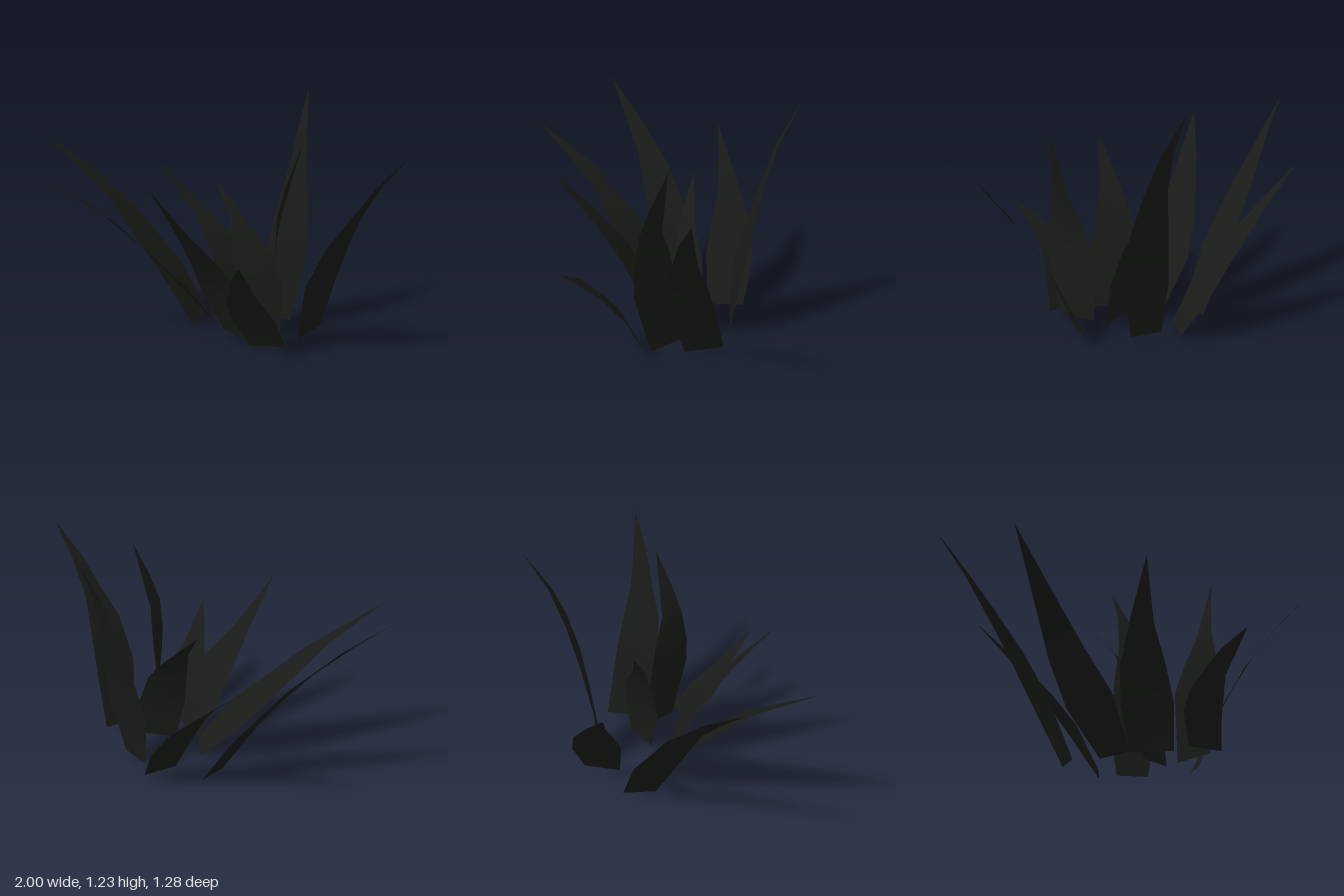
import * as THREE from 'three';

// A blade is a thin strip: rows of [left xyz, right xyz] from the root up, closed by a pointed tip.
function bladeGeometry(rows, tip) {
  const points = [...rows.flat(), ...tip];
  const index = [];
  const last = rows.length - 1;
  for (let i = 0; i < last; i++) {
    const a = i * 2;
    index.push(a, a + 1, a + 3, a, a + 3, a + 2);
  }
  index.push(last * 2, last * 2 + 1, last * 2 + 2);
  const geometry = new THREE.BufferGeometry();
  geometry.setAttribute('position', new THREE.Float32BufferAttribute(points, 3));
  geometry.setIndex(index);
  geometry.computeVertexNormals();
  return geometry;
}

const blades = {
  leftBlade: {
    rows: [
      [0.39, 0.02, -0.05, 0.41, 0.05, -0.24],
      [0.49, 0.32, 0.05, 0.53, 0.32, -0.18],
      [0.61, 0.53, 0.07, 0.62, 0.50, -0.13],
      [0.71, 0.66, 0.05, 0.72, 0.67, -0.07],
      [0.84, 0.83, 0.03, 0.84, 0.83, -0.04],
    ],
    tip: [1.0, 1.0, -0.01],
  },
  rightBlade: {
    rows: [
      [-0.26, 0.015, -0.22, -0.25, 0.0, -0.05],
      [-0.42, 0.29, -0.18, -0.40, 0.28, 0.04],
      [-0.55, 0.48, -0.10, -0.53, 0.47, 0.08],
      [-0.64, 0.61, -0.05, -0.68, 0.66, 0.11],
      [-0.83, 0.83, 0.10, -0.84, 0.83, 0.17],
    ],
    tip: [-1.0, 0.985, 0.23],
  },
  frontRightBlade: {
    rows: [
      [-0.11, 0.02, -0.065, 0.01, 0.03, 0.05],
      [-0.30, 0.23, 0.02, -0.12, 0.27, 0.19],
      [-0.42, 0.42, 0.15, -0.27, 0.43, 0.28],
      [-0.56, 0.67, 0.38, -0.42, 0.60, 0.38],
    ],
    tip: [-0.69, 0.845, 0.64],
  },
  backRightBlade: {
    rows: [
      [-0.03, 0.03, -0.40, -0.08, 0.02, -0.22],
      [-0.15, 0.24, -0.465, -0.20, 0.25, -0.22],
      [-0.27, 0.40, -0.46, -0.32, 0.42, -0.27],
      [-0.49, 0.61, -0.40, -0.42, 0.54, -0.31],
    ],
    tip: [-0.71, 0.80, -0.34],
  },
  frontBlade: {
    rows: [
      [0.01, 0.03, 0.04, 0.21, 0.03, 0.11],
      [-0.06, 0.24, 0.13, 0.20, 0.25, 0.16],
      [-0.08, 0.40, 0.20, 0.14, 0.40, 0.24],
      [-0.07, 0.60, 0.36, 0.04, 0.57, 0.37],
    ],
    tip: [-0.05, 0.815, 0.565],
  },
  backBlade: {
    rows: [
      [0.04, 0.03, -0.32, 0.20, 0.03, -0.30],
      [0.01, 0.30, -0.335, 0.26, 0.32, -0.34],
      [0.05, 0.60, -0.40, 0.25, 0.60, -0.39],
      [0.09, 0.82, -0.46, 0.20, 0.83, -0.45],
      [0.10, 1.02, -0.53, 0.16, 1.01, -0.52],
    ],
    tip: [0.10, 1.225, -0.64],
  },
  centreBlade: {
    rows: [
      [0.10, 0.03, -0.03, 0.245, 0.03, -0.12],
      [0.06, 0.25, 0.0, 0.24, 0.25, -0.155],
      [0.01, 0.44, -0.04, 0.17, 0.42, -0.155],
      [-0.04, 0.60, -0.08, 0.08, 0.53, -0.13],
    ],
    tip: [-0.16, 0.755, -0.145],
  },
  frontLeftShortBlade: {
    rows: [
      [0.26, 0.03, 0.19, 0.44, 0.04, 0.14],
      [0.21, 0.18, 0.27, 0.42, 0.19, 0.22],
      [0.23, 0.27, 0.34, 0.395, 0.34, 0.36],
      [0.34, 0.43, 0.46, 0.42, 0.43, 0.46],
    ],
    tip: [0.44, 0.51, 0.56],
  },
  frontLeftTallBlade: {
    rows: [
      [0.28, 0.03, -0.05, 0.39, 0.03, 0.12],
      [0.26, 0.38, -0.01, 0.42, 0.35, 0.20],
      [0.31, 0.54, 0.02, 0.41, 0.49, 0.20],
      [0.36, 0.67, 0.06, 0.40, 0.67, 0.17],
      [0.41, 0.84, 0.05, 0.42, 0.82, 0.12],
    ],
    tip: [0.46, 1.015, 0.04],
  },
};

export function createModel() {
  const group = new THREE.Group();
  group.name = 'grassTuft';
  const material = new THREE.MeshStandardMaterial({ color: 0x181b18, side: THREE.DoubleSide });
  for (const [name, { rows, tip }] of Object.entries(blades)) {
    const blade = new THREE.Mesh(bladeGeometry(rows, tip), material);
    blade.name = name;
    group.add(blade);
  }
  return group;
}
